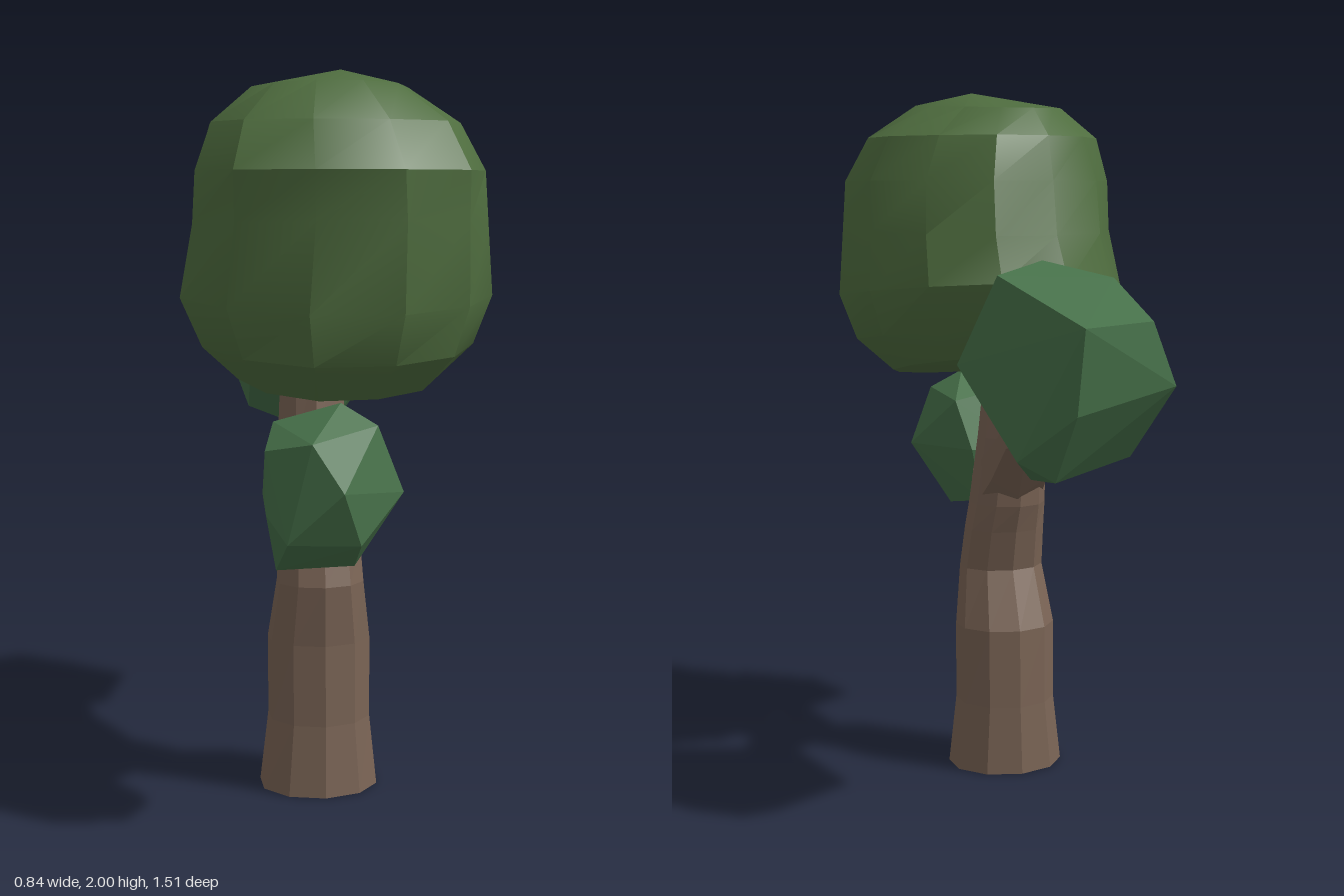
import * as THREE from 'three';
import { toCreasedNormals } from 'three/addons/utils/BufferGeometryUtils.js';
import { ConvexGeometry } from 'three/addons/geometries/ConvexGeometry.js';

const bark = new THREE.MeshStandardMaterial({ color: 0x7a6455 });
const crownGreen = new THREE.MeshStandardMaterial({ color: 0x4f6d3f });
const tuftGreen = new THREE.MeshStandardMaterial({ color: 0x467049 });

// Capped loft through rings [y, xMin, xMax, zMin, zMax, tilt]; tilt is the rise per unit of z,
// egg widens the +z half of each ring and narrows the -z half
function loft(rings, sides, bottom, top, wobble = 0, egg = 0) {
  const points = rings.map(([y, x0, x1, z0, z1, tilt = 0], r) =>
    Array.from({ length: sides }, (_, i) => {
      const a = ((i + 0.5) / sides) * Math.PI * 2;
      const s = 1 + wobble * Math.sin(i * 2.4 + r * 1.1);
      const dx = Math.cos(a) * s * (1 + egg * Math.sin(a)) * (x1 - x0) / 2;
      const dz = Math.sin(a) * s * (z1 - z0) / 2;
      return [(x0 + x1) / 2 + dx, y + tilt * dz, (z0 + z1) / 2 + dz];
    }));
  const out = [];
  const tri = (a, b, c) => out.push(...a, ...b, ...c);
  const last = points.length - 1;
  for (let i = 0; i < sides; i++) {
    const j = (i + 1) % sides;
    for (let r = 0; r < last; r++) {
      tri(points[r][i], points[r + 1][i], points[r][j]);
      tri(points[r][j], points[r + 1][i], points[r + 1][j]);
    }
    tri(bottom, points[0][i], points[0][j]);
    tri(top, points[last][j], points[last][i]);
  }
  const g = new THREE.BufferGeometry();
  g.setAttribute('position', new THREE.Float32BufferAttribute(out, 3));
  g.computeVertexNormals();
  return g;
}

// Branch along +y from stations [x, y, z, radius]
function branchGeometry(stations) {
  const rings = stations.map(([x, y, z, r]) => [y, x - r, x + r, z - r, z + r]);
  return loft(rings, 6, stations[0].slice(0, 3), stations.at(-1).slice(0, 3));
}

// Faceted leaf tuft wrapped around its corner points
function tuftGeometry(corners) {
  return new ConvexGeometry(corners.map((c) => new THREE.Vector3(...c)));
}

export function createModel() {
  const tree = new THREE.Group();
  tree.name = 'tree';
  const add = (name, geometry, material) => {
    const mesh = new THREE.Mesh(geometry, material);
    mesh.name = name;
    tree.add(mesh);
    return mesh;
  };

  // Crooked ten-sided trunk
  add('trunk', loft([
    [0, -0.198, 0.143, -0.02, 0.285],
    [0.2, -0.173, 0.122, -0.01, 0.265],
    [0.43, -0.173, 0.122, -0.005, 0.26],
    [0.6, -0.152, 0.098, 0.06, 0.27],
    [0.72, -0.145, 0.092, 0.03, 0.24],
    [0.8, -0.142, 0.082, 0.005, 0.235],
    [1.0, -0.137, 0.062, -0.01, 0.205],
    [1.2, -0.13, 0.04, 0.02, 0.185],
    [1.35, -0.1, 0.02, 0.04, 0.17],
  ], 10, [-0.03, 0, 0.13], [-0.04, 1.35, 0.105]), bark);

  // Side branches, built upright and laid forward or backward
  add('frontBranch', branchGeometry([
    [-0.03, 0.15, -0.78, 0.085], [-0.03, 0.23, -0.79, 0.07],
    [-0.04, 0.33, -0.805, 0.05], [-0.05, 0.39, -0.84, 0.04], [-0.05, 0.5, -0.91, 0.03],
  ]), bark).rotation.x = Math.PI / 2;
  add('backBranch', branchGeometry([
    [-0.03, -0.08, 0.88, 0.11], [-0.02, 0.01, 0.935, 0.1],
    [0.01, 0.14, 1.03, 0.067], [0.03, 0.24, 1.05, 0.05], [0.04, 0.36, 1.12, 0.03],
  ]), bark).rotation.x = -Math.PI / 2;

  // Main crown, softly faceted and fuller toward the front
  const crown = loft([
    [1.2, -0.27, 0.27, -0.08, 0.5, -0.18],
    [1.29, -0.365, 0.365, -0.15, 0.6, -0.12],
    [1.42, -0.42, 0.415, -0.2, 0.64, -0.1],
    [1.6, -0.39, 0.405, -0.16, 0.635, 0.03],
    [1.74, -0.39, 0.395, -0.125, 0.65, 0],
    [1.865, -0.345, 0.33, -0.085, 0.58, 0],
    [1.955, -0.23, 0.19, 0.0, 0.47, 0.05],
  ], 12, [0, 1.195, 0.21], [0, 2, 0.345], 0.015, 0.12);
  add('crown', toCreasedNormals(crown, 0.5), crownGreen);

  // Leaf tufts at the branch ends
  add('backTuft', tuftGeometry([
    [0.03, 0.145, 0.28], [0, 0.295, 0.11], [0.18, 0.265, -0.04], [0.04, 0.145, -0.285],
    [0.05, -0.075, -0.26], [0.16, -0.2, -0.13], [0.06, -0.257, -0.14], [0.02, -0.295, 0.14],
    [0.03, -0.115, 0.28], [0.265, 0.035, 0.03], [-0.175, 0.25, 0.04], [-0.19, 0.15, -0.18],
    [-0.265, -0.02, -0.16], [-0.265, 0.13, 0.17], [-0.225, -0.06, 0.26], [-0.2, -0.22, -0.02],
  ]), tuftGreen).position.set(0.045, 1.235, -0.47);
  add('frontTuft', tuftGeometry([
    [-0.08, 0.135, 0.17], [0.02, 0.215, -0.01], [0.09, 0.135, -0.16], [0.05, -0.015, -0.2],
    [0, -0.185, -0.14], [0.055, -0.21, 0], [0.045, -0.125, 0.16], [-0.005, 0.015, 0.205],
    [0.18, -0.015, 0.02], [0.11, 0.16, 0.03], [-0.15, 0.165, -0.05], [-0.185, 0.105, 0.06],
    [-0.185, -0.055, 0.08], [-0.15, -0.215, 0], [-0.14, -0.12, 0.15], [-0.17, -0.035, -0.12],
  ]), tuftGreen).position.set(-0.05, 0.935, 0.55);

  return tree;
}
